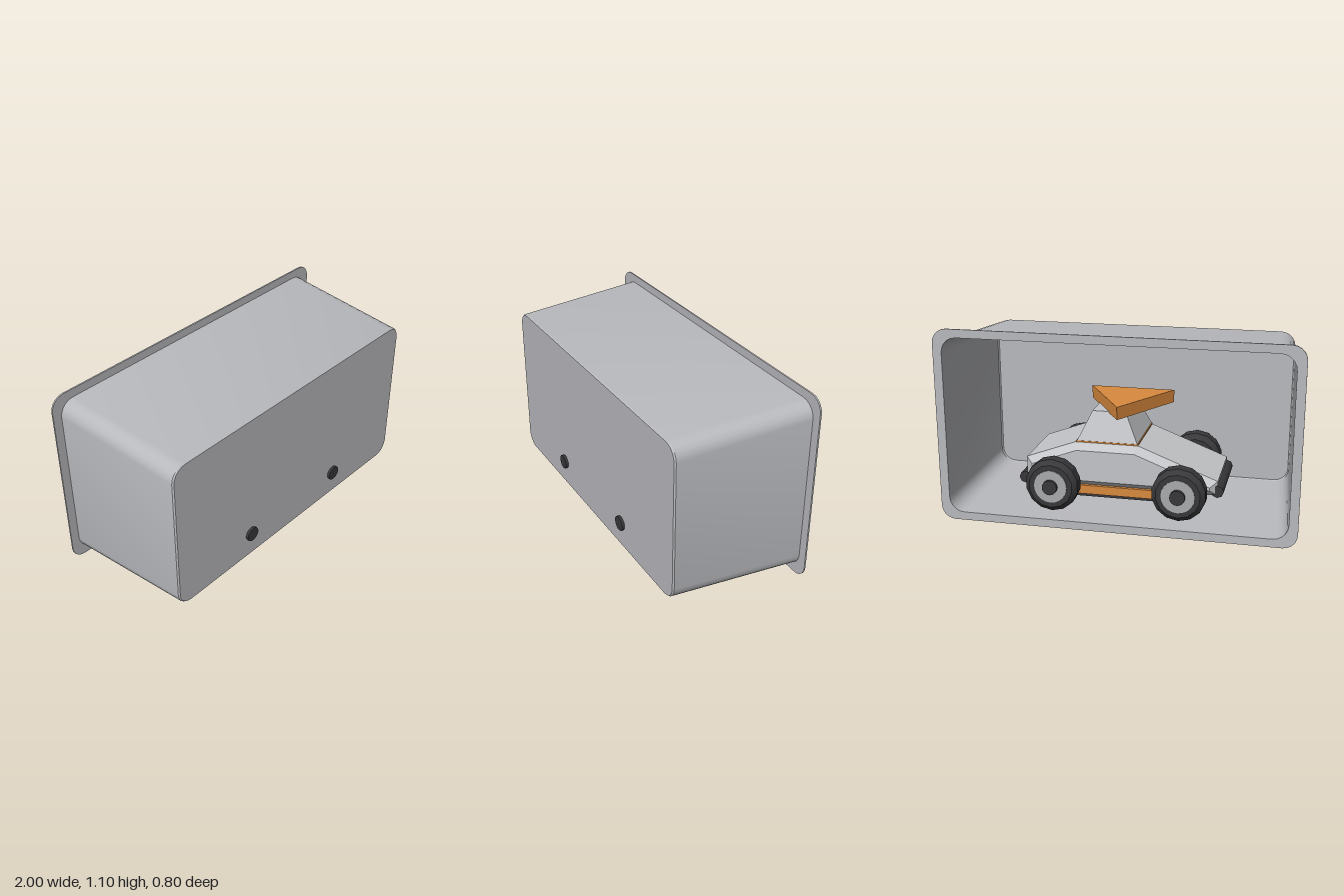
import * as THREE from 'three';
import { toCreasedNormals } from 'three/addons/utils/BufferGeometryUtils.js';

const mat = (name, color, side = THREE.FrontSide) => {
  const m = new THREE.MeshStandardMaterial({ color, side });
  m.name = name;
  return m;
};

// Outline points of a rounded rectangle, counter-clockwise
function roundedRect(hw, hh, r, n = 5) {
  const pts = [];
  const corners = [[1, 1], [-1, 1], [-1, -1], [1, -1]];
  corners.forEach(([sx, sy], c) => {
    for (let i = 0; i <= n; i++) {
      const a = (c + i / n) * Math.PI / 2;
      pts.push(new THREE.Vector2(sx * (hw - r) + r * Math.cos(a), sy * (hh - r) + r * Math.sin(a)));
    }
  });
  return pts;
}

// Skin between outlines, each given as { z, pts }
function loft(sections) {
  const pos = [], idx = [], n = sections[0].pts.length;
  sections.forEach(({ z, pts }) => pts.forEach(p => pos.push(p.x, p.y, z)));
  for (let s = 0; s < sections.length - 1; s++) {
    for (let i = 0; i < n; i++) {
      const a = s * n + i, b = s * n + (i + 1) % n;
      idx.push(a, b, b + n, a, b + n, a + n);
    }
  }
  const g = new THREE.BufferGeometry();
  g.setAttribute('position', new THREE.Float32BufferAttribute(pos, 3));
  g.setIndex(idx);
  return toCreasedNormals(g, 0.5);
}

export function createModel() {
  const grey = mat('shell grey', 0xb8b9bd, THREE.DoubleSide);
  const light = mat('hull light grey', 0xc4c6c9);
  const orange = mat('orange', 0xd98a3e);
  const dark = mat('dark rubber', 0x38383b);
  const rimGrey = mat('rim grey', 0xa9aaad);

  const root = new THREE.Group();
  root.name = 'carInTray';
  const add = (name, geo, material, x = 0, y = 0, z = 0, parent = root) => {
    const m = new THREE.Mesh(geo, material);
    m.name = name;
    m.position.set(x, y, z);
    parent.add(m);
    return m;
  };

  // Tapered tray, open at the back
  const tray = new THREE.Group();
  tray.name = 'tray';
  tray.position.y = 0.55;
  root.add(tray);
  const capPts = roundedRect(0.9, 0.455, 0.08);
  add('trayWalls', loft([
    { z: -0.377, pts: roundedRect(0.95, 0.503, 0.085) },
    { z: 0.377, pts: roundedRect(0.907, 0.46, 0.085) },
    { z: 0.385, pts: capPts },
  ]), grey, 0, 0, 0, tray);
  add('trayPanel', new THREE.ShapeGeometry(new THREE.Shape(capPts)), grey, 0, 0, 0.385, tray);

  // Flange around the opening
  const flange = new THREE.Shape(roundedRect(1, 0.55, 0.08));
  flange.holes.push(new THREE.Path(roundedRect(0.95, 0.503, 0.085).reverse()));
  add('flange', new THREE.ExtrudeGeometry(flange, { depth: 0.009, bevelEnabled: false }),
    grey, 0, 0, -0.384, tray);

  // Car hull, nose towards -x, with chamfered edges
  const car = new THREE.Group();
  car.name = 'car';
  root.add(car);
  const profile = new THREE.Shape([
    [0.5, 0.24], [0.5, 0.32], [0.24, 0.417], [-0.09, 0.417], [-0.51, 0.255], [-0.51, 0.24],
  ].map(p => new THREE.Vector2(...p)));
  add('hull', new THREE.ExtrudeGeometry(profile, {
    depth: 0.42, bevelSize: 0.04, bevelThickness: 0.04, bevelSegments: 1,
  }), light, 0, 0, -0.21, car);

  // Chassis plates
  add('chassis', new THREE.BoxGeometry(0.96, 0.05, 0.48), orange, 0, 0.185, 0, car);
  add('underside', new THREE.BoxGeometry(0.86, 0.03, 0.42), dark, 0, 0.15, 0, car);

  // Tapered cabin on a thin orange base
  add('cabinBase', new THREE.BoxGeometry(0.352, 0.012, 0.424), orange, 0.073, 0.457, 0, car);
  const cabin = new THREE.BoxGeometry(0.345, 0.165, 0.42);
  const p = cabin.attributes.position;
  for (let i = 0; i < p.count; i++) {
    if (p.getY(i) > 0) p.setXYZ(i, p.getX(i) * 0.55, p.getY(i), p.getZ(i) * 0.73);
  }
  cabin.computeVertexNormals();
  add('cabin', cabin, light, 0.073, 0.5425, 0, car);

  // Three-cornered roof slab, one corner pointing to the back
  const slab = new THREE.CylinderGeometry(0.28, 0.28, 0.072, 3).toNonIndexed();
  slab.rotateY(Math.PI);
  slab.computeVertexNormals();
  add('roofSlab', slab, orange, 0, 0.654, 0, car);

  // Bumpers across both ends
  for (const s of [-1, 1]) {
    const bar = add(s < 0 ? 'frontBumper' : 'rearBumper',
      new THREE.CylinderGeometry(0.035, 0.035, 0.44, 8), dark, s * 0.55, 0.225, 0, car);
    bar.rotation.x = Math.PI / 2;
  }

  // Wheels: chamfered tyre, rim disc and hub, outer side along +y before turning
  const tyreGeo = toCreasedNormals(new THREE.LatheGeometry([
    [0, 0.255], [0.12, 0.255], [0.15, 0.285], [0.15, 0.35], [0.123, 0.375], [0, 0.375],
  ].map(q => new THREE.Vector2(...q)), 14), 0.4);
  const rimGeo = new THREE.CylinderGeometry(0.093, 0.093, 0.02, 20);
  const hubGeo = new THREE.CylinderGeometry(0.042, 0.042, 0.04, 16);
  for (const x of [-0.355, 0.355]) {
    const axle = add('axle', new THREE.CylinderGeometry(0.03, 0.03, 0.56, 10), dark, x, 0.24, 0, car);
    axle.rotation.x = Math.PI / 2;
    for (const s of [-1, 1]) {
      const wheel = new THREE.Group();
      wheel.name = 'wheel';
      wheel.position.set(x, 0.24, 0);
      wheel.rotation.x = s * Math.PI / 2;
      car.add(wheel);
      add('tyre', tyreGeo, dark, 0, 0, 0, wheel);
      add('rim', rimGeo, rimGrey, 0, 0.37, 0, wheel);
      add('hub', hubGeo, dark, 0, 0.38, 0, wheel);
    }
  }
  return root;
}
